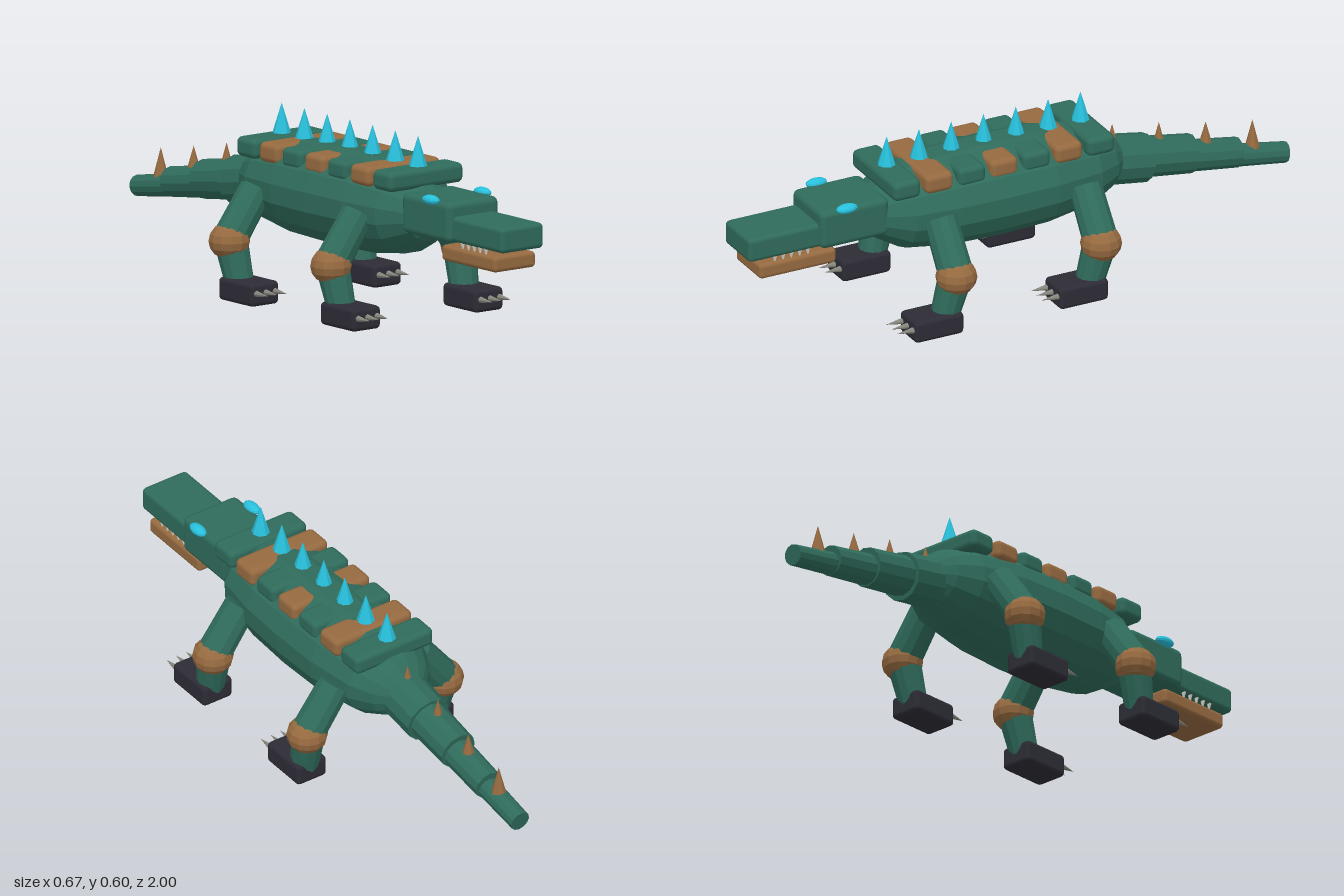
import * as THREE from 'three';
import { RoundedBoxGeometry } from 'three/addons/geometries/RoundedBoxGeometry.js';

const material = (name, color) => {
  const m = new THREE.MeshStandardMaterial({ color });
  m.name = name;
  return m;
};

// faceted normals
const flat = (geometry) => {
  const g = geometry.index ? geometry.toNonIndexed() : geometry;
  g.computeVertexNormals();
  return g;
};

export function createModel() {
  const model = new THREE.Group();
  model.name = 'armouredReptile';

  const green = material('scale green', 0x2f6b5b);
  const brown = material('hide brown', 0x966a40);
  const cyan = material('bright cyan', 0x28c0dc);
  const dark = material('foot charcoal', 0x2d2c36);
  const grey = material('claw grey', 0x85857c);
  const ivory = material('tooth ivory', 0xd6d6cc);

  const add = (name, geometry, mat, x = 0, y = 0, z = 0, parent = model) => {
    const mesh = new THREE.Mesh(geometry, mat);
    mesh.name = name;
    mesh.position.set(x, y, z);
    parent.add(mesh);
    return mesh;
  };
  const box = (w, h, d, r) => new RoundedBoxGeometry(w, h, d, 2, r);
  const cone = (r, h, sides = 8) => flat(new THREE.ConeGeometry(r, h, sides));

  // tapered cylinder from point a to point b
  const limb = (name, a, b, ra, rb, mat, parent = model) => {
    const from = new THREE.Vector3(...a), to = new THREE.Vector3(...b);
    const dir = to.clone().sub(from);
    const mid = from.clone().add(to).multiplyScalar(0.5);
    const mesh = add(name, flat(new THREE.CylinderGeometry(rb, ra, dir.length(), 12)), mat, mid.x, mid.y, mid.z, parent);
    mesh.quaternion.setFromUnitVectors(new THREE.Vector3(0, 1, 0), dir.normalize());
    return mesh;
  };

  // barrel body, turned about the z axis and squashed
  const profile = [
    [0, -0.40], [0.32, -0.38], [0.60, -0.33], [0.82, -0.25], [0.97, -0.08], [1, 0.1],
    [0.97, 0.28], [0.84, 0.43], [0.52, 0.52], [0.28, 0.55], [0, 0.56],
  ].map(([r, z]) => new THREE.Vector2(r, z));
  const body = new THREE.LatheGeometry(profile, 16, Math.PI / 16);
  body.rotateX(Math.PI / 2);
  body.scale(0.192, 0.165, 1);
  add('body', flat(body), green, 0, 0.35, 0);

  // back plates with spikes
  for (let i = 0; i < 7; i++) {
    const z = 0.455 - i * 0.1175;
    add('backPlate', box(0.306, 0.066, 0.1, 0.02), i % 2 ? brown : green, 0, 0.469, z);
    add('backSpike', cone(0.032, 0.105), cyan, 0, 0.5475, z);
  }

  // head
  add('skull', box(0.212, 0.134, 0.25, 0.022), green, 0, 0.368, 0.622);
  add('snout', box(0.175, 0.084, 0.28, 0.016), green, 0, 0.347, 0.86);
  add('lowerJaw', box(0.172, 0.053, 0.28, 0.014), brown, 0, 0.263, 0.82);
  for (const side of [-1, 1]) {
    const eye = new THREE.SphereGeometry(1, 12, 8);
    eye.scale(0.021, 0.016, 0.038);
    add('eye', flat(eye), cyan, side * 0.106, 0.434, 0.655);
    for (let i = 0; i < 5; i++) {
      const tooth = add('tooth', cone(0.009, 0.034, 6), ivory, side * 0.074, 0.295, 0.9 - i * 0.03);
      tooth.rotation.x = Math.PI;
    }
  }

  // stepped tail: start z, start y, end z, end y, radius
  [
    [-0.29, 0.343, -0.482, 0.311, 0.081],
    [-0.45, 0.318, -0.648, 0.287, 0.065],
    [-0.62, 0.283, -0.818, 0.252, 0.050],
    [-0.80, 0.244, -0.994, 0.212, 0.035],
  ].forEach(([z0, y0, z1, y1, r]) => limb('tailSegment', [0, y0, z0], [0, y1, z1], r + 0.003, r, green));

  // tail spikes: z, tip height, length, radius
  [
    [-0.365, 0.457, 0.06, 0.016],
    [-0.535, 0.425, 0.075, 0.02],
    [-0.705, 0.388, 0.085, 0.024],
    [-0.875, 0.356, 0.105, 0.027],
  ].forEach(([z, tip, h, r]) => add('tailSpike', cone(r, h), brown, 0, tip - h / 2, z));

  // four legs
  for (const [label, z] of [['front', 0.342], ['rear', -0.184]]) {
    for (const s of [-1, 1]) {
      const leg = new THREE.Group();
      leg.name = label + (s > 0 ? 'LeftLeg' : 'RightLeg');
      leg.position.z = z;
      model.add(leg);
      limb('upperLeg', [s * 0.157, 0.345, 0], [s * 0.27, 0.19, 0], 0.055, 0.058, green, leg);
      const knee = new THREE.SphereGeometry(0.068, 12, 8);
      knee.scale(1, 0.9, 1);
      add('knee', flat(knee), brown, s * 0.268, 0.19, 0, leg);
      limb('lowerLeg', [s * 0.262, 0.19, 0], [s * 0.252, 0.05, 0.035], 0.056, 0.047, green, leg);
      add('foot', box(0.116, 0.076, 0.178, 0.015), dark, s * 0.252, 0.038, 0.08, leg);
      for (const dx of [-0.038, 0, 0.038]) {
        const claw = add('claw', cone(0.014, 0.08), grey, s * 0.252 + dx, 0.044, 0.188, leg);
        claw.rotation.x = Math.PI / 2;
      }
    }
  }
  return model;
}
